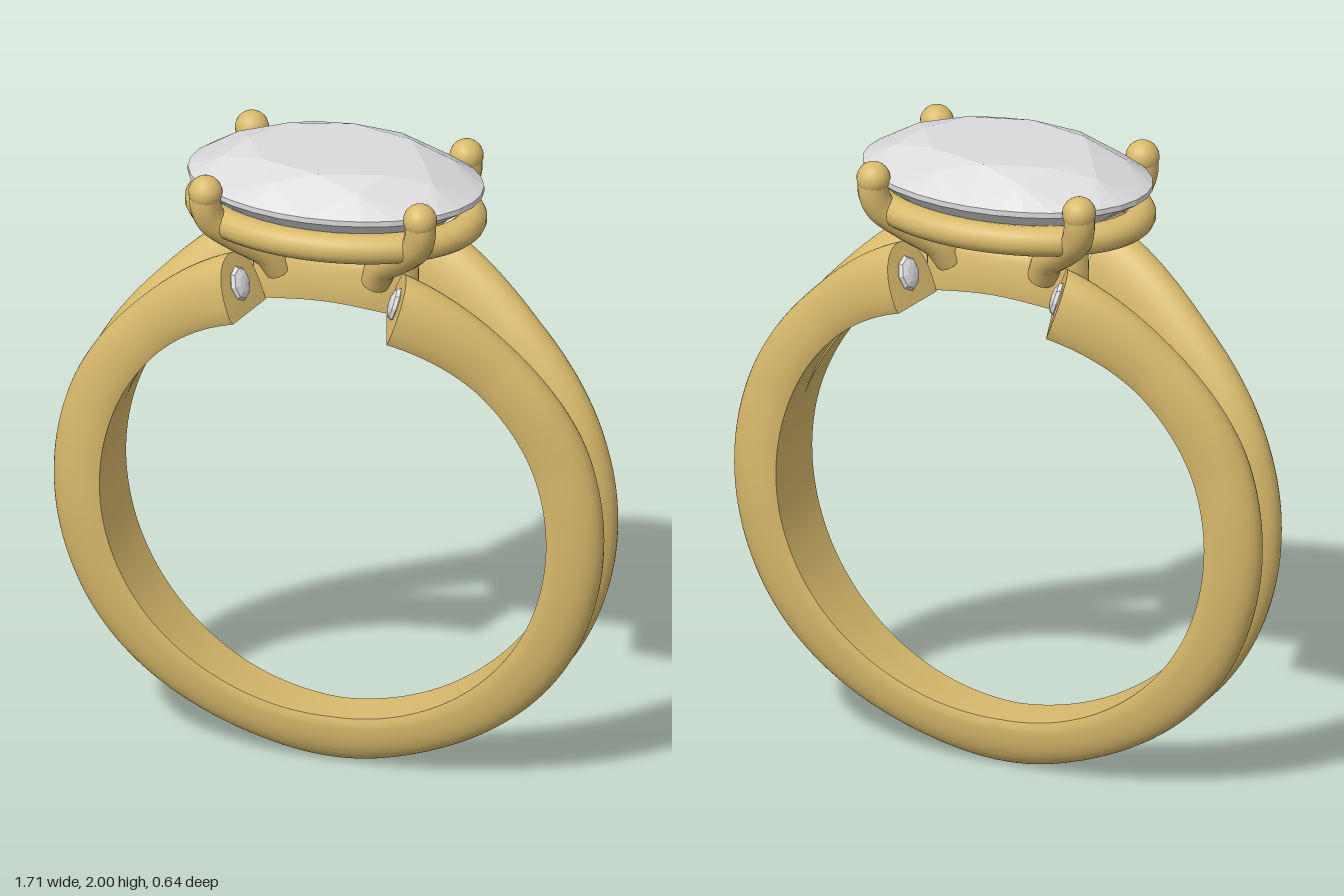
import * as THREE from 'three';
import { toCreasedNormals } from 'three/addons/utils/BufferGeometryUtils.js';
import { ConvexGeometry } from 'three/addons/geometries/ConvexGeometry.js';

const CENTRE_Y = 0.855, INNER_R = 0.695, END = THREE.MathUtils.degToRad(162);

// Skin a list of equal-length closed cross-sections
function loft(rings, { closed = false, cap = false, flip = false } = {}) {
  const n = rings[0].length, pos = rings.flat(2), index = [];
  const tri = (a, b, c) => (flip ? index.push(a, c, b) : index.push(a, b, c));
  const count = closed ? rings.length : rings.length - 1;
  for (let i = 0; i < count; i++) {
    const p = i * n, q = ((i + 1) % rings.length) * n;
    for (let j = 0; j < n; j++) {
      const k = (j + 1) % n;
      tri(p + j, p + k, q + k);
      tri(p + j, q + k, q + j);
    }
  }
  if (cap) {
    const last = rings[rings.length - 1], base = (rings.length - 1) * n;
    const mid = [0, 1, 2].map(a => last.reduce((s, v) => s + v[a], 0) / n);
    pos.push(...mid);
    for (let j = 0; j < n; j++) tri(rings.length * n, base + j, base + (j + 1) % n);
  }
  const g = new THREE.BufferGeometry();
  g.setAttribute('position', new THREE.Float32BufferAttribute(pos, 3));
  g.setIndex(index);
  g.computeVertexNormals();
  return toCreasedNormals(g, 0.75);
}

// Half-round strand: (inner z, outer z, outer radius) at equal steps from bottom to shoulder
const strandKeys = new THREE.CatmullRomCurve3([
  [0, 0.075, 0.855], [0, 0.094, 0.855], [0, 0.12, 0.855], [0, 0.138, 0.855],
  [0, 0.146, 0.855], [0.04, 0.184, 0.848], [0.1, 0.27, 0.89],
].map(p => new THREE.Vector3(...p)));

function strandGeometry(sx, sz) {
  const rings = [], STEPS = 72, N = 20;
  for (let i = 0; i <= STEPS; i++) {
    const t = i / STEPS, key = strandKeys.getPoint(t);
    const z0 = Math.max(0, key.x), z1 = key.y, h = key.z - INNER_R - 0.02;
    const round = THREE.MathUtils.smoothstep(t, 0, 0.4); // joined dome at the bottom, separate domes above
    const ring = [];
    const add = (r, z) => {
      // the end cut leans towards the outside
      const phi = END * t - t ** 8 * ((z - (z0 + z1) / 2) / 0.17) * 0.08;
      ring.push([sx * r * Math.sin(phi), CENTRE_Y - r * Math.cos(phi), sz * z]);
    };
    add(INNER_R, z1 - 0.006);
    for (let j = 0; j <= N; j++) {
      const a = (j / N) * Math.PI;
      const zFull = (z0 + z1) / 2 + ((z1 - z0) / 2) * Math.cos(a), rFull = Math.sin(a) ** 0.9;
      const zHalf = z1 * Math.cos(a / 2), rHalf = Math.sin(a / 2);
      add(INNER_R + 0.02 + h * THREE.MathUtils.lerp(rHalf, rFull, round),
        THREE.MathUtils.lerp(zHalf, zFull, round));
    }
    add(INNER_R, z0);
    rings.push(ring);
  }
  return loft(rings, { cap: true, flip: sx * sz < 0 });
}

// Hollow oval collar whose underside follows the finger hole
function collarGeometry() {
  const rings = [], N = 64;
  const sp = v => Math.sign(v) * Math.abs(v) ** 0.8;
  for (let i = 0; i < N; i++) {
    const a = (i / N) * Math.PI * 2, c = sp(Math.cos(a)), s = sp(Math.sin(a));
    const at = (rx, rz, y) => {
      const x = rx * c;
      return [x, y ?? CENTRE_Y + Math.sqrt(INNER_R ** 2 - x * x), rz * s];
    };
    rings.push([at(0.255, 0.115), at(0.25, 0.125, 1.67), at(0.235, 0.11, 1.69),
      at(0.19, 0.075, 1.69), at(0.19, 0.065)]);
  }
  return loft(rings, { closed: true });
}

// Oval brilliant: table, star points, girdle, pavilion and culet
function gemGeometry() {
  const pts = [];
  const ring = (count, r, y, offset = 0) => {
    for (let i = 0; i < count; i++) {
      const a = ((i + offset) / count) * Math.PI * 2;
      pts.push(new THREE.Vector3(0.452 * r * Math.cos(a), y, 0.305 * r * Math.sin(a)));
    }
  };
  ring(8, 0.6, 2);
  ring(8, 0.79, 1.971, 0.5);
  ring(32, 1, 1.912);
  ring(32, 1, 1.895);
  ring(16, 0.62, 1.785, 0.5);
  pts.push(new THREE.Vector3(0, 1.6, 0));
  return new ConvexGeometry(pts);
}

class Oval extends THREE.Curve {
  constructor(rx, rz, y) { super(); Object.assign(this, { rx, rz, y }); }
  getPoint(t, target = new THREE.Vector3()) {
    const a = t * Math.PI * 2;
    return target.set(this.rx * Math.cos(a), this.y, this.rz * Math.sin(a));
  }
}

export function createModel() {
  const gold = new THREE.MeshStandardMaterial({ color: 0xd9ba6c });
  gold.name = 'gold';
  const stone = new THREE.MeshStandardMaterial({ color: 0xdadadc });
  stone.name = 'clear stone';

  const model = new THREE.Group();
  model.name = 'ring';
  const add = (name, geometry, material) => {
    const mesh = new THREE.Mesh(geometry, material);
    mesh.name = name;
    model.add(mesh);
    return mesh;
  };

  // Setting
  add('collar', collarGeometry(), gold);
  add('rail', new THREE.TubeGeometry(new Oval(0.415, 0.273, 1.808), 96, 0.046, 14, true), gold);
  add('mainGem', gemGeometry(), stone);

  const accent = new THREE.SphereGeometry(1, 8, 6).toNonIndexed();
  accent.rotateX(Math.PI / 2);
  accent.scale(0.042, 0.055, 0.022);
  accent.computeVertexNormals();

  for (const sx of [1, -1]) {
    for (const sz of [1, -1]) {
      const side = (sz > 0 ? 'front' : 'back') + (sx > 0 ? 'Left' : 'Right');

      // Split band
      add(side + 'Strand', strandGeometry(sx, sz), gold);

      // Small stone set in the shoulder end
      const gem = add(side + 'AccentGem', accent, stone);
      const p = new THREE.Vector3(sx * 0.243, 1.607, sz * 0.185);
      gem.position.copy(p);
      gem.lookAt(p.clone().add(new THREE.Vector3(-sx * 0.92, 0.3, sz * 0.28)));

      // Claw with a ball tip
      const path = new THREE.CatmullRomCurve3([
        [0.15, 1.63, 0.085], [0.18, 1.69, 0.115], [0.255, 1.755, 0.17],
        [0.318, 1.82, 0.217], [0.334, 1.87, 0.233], [0.334, 1.92, 0.235],
      ].map(([x, y, z]) => new THREE.Vector3(sx * x, y, sz * z)));
      add(side + 'Prong', new THREE.TubeGeometry(path, 28, 0.047, 14), gold);
      const tip = add(side + 'ProngTip', new THREE.SphereGeometry(0.051, 20, 14), gold);
      tip.position.set(sx * 0.334, 1.919, sz * 0.235);
    }
  }
  return model;
}
